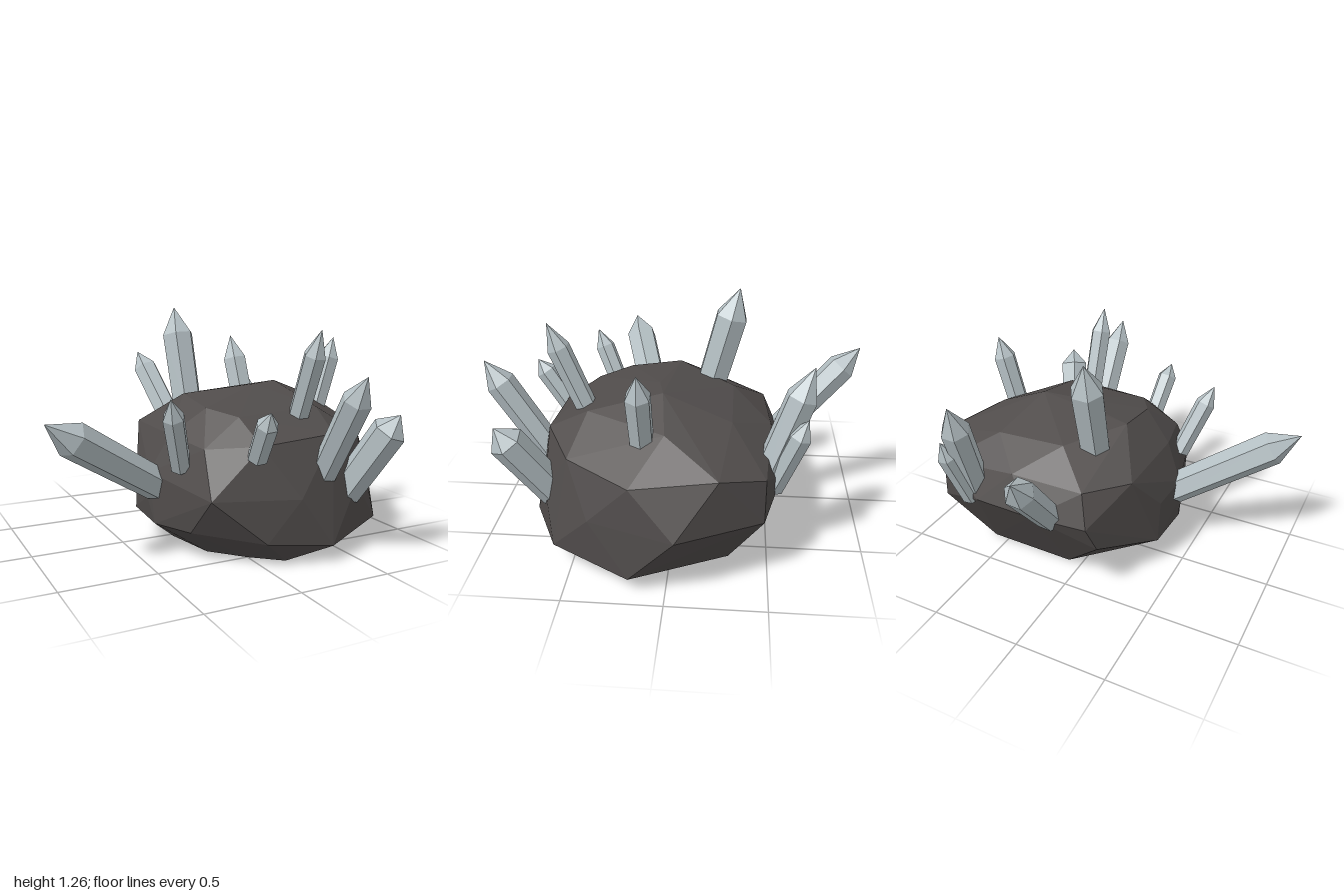
import * as THREE from 'three';
import { ConvexGeometry } from 'three/addons/geometries/ConvexGeometry.js';

const rockMat = new THREE.MeshStandardMaterial({ color: 0x504c4b, flatShading: true });
rockMat.name = 'dark rock';
const crystalMat = new THREE.MeshStandardMaterial({ color: 0xb5c0c4, flatShading: true });
crystalMat.name = 'pale crystal';

// Corners of the boulder, ring by ring: [x, y, z]
const rockRings = [
  // flat base
  [[-0.21, 0, 0.03], [-0.15, 0, 0.33], [0, 0, 0.5], [0.15, 0, 0.63], [0.65, 0, 0.32],
    [0.73, 0, 0], [0.59, 0, -0.3], [0.08, 0, -0.31]],
  // lower edge
  [[0.93, 0.09, 0.18], [0.75, 0.14, 0.58], [0.35, 0.09, 0.76], [0, 0.13, 0.7],
    [-0.3, 0.16, 0.45], [-0.39, 0.15, 0.2], [-0.38, 0.16, -0.1], [-0.18, 0.28, -0.46]],
  // waist
  [[1, 0.36, -0.05], [0.85, 0.36, 0.38], [0.57, 0.36, 0.65], [0.17, 0.35, 0.74], [-0.27, 0.36, 0.62],
    [-0.4, 0.42, 0.15], [-0.4, 0.28, 0.12], [-0.38, 0.4, -0.08], [-0.15, 0.44, -0.53],
    [0.15, 0.46, -0.58], [0.5, 0.45, -0.56], [0.78, 0.35, -0.47]],
  // shoulder
  [[0.9, 0.64, -0.25], [0.9, 0.58, 0.17], [0.68, 0.6, 0.5], [0.42, 0.64, 0.64], [0, 0.61, 0.63],
    [-0.24, 0.59, 0.48], [-0.3, 0.62, 0.2], [-0.29, 0.62, -0.27], [-0.1, 0.62, -0.47],
    [0.3, 0.64, -0.5], [0.77, 0.58, -0.47]],
  // crown
  [[-0.13, 0.8, 0], [-0.13, 0.76, 0.28], [0.27, 0.84, 0.08], [0.42, 0.85, 0.05], [0.68, 0.75, 0.02],
    [0.5, 0.74, -0.3], [0.1, 0.76, -0.3], [-0.03, 0.73, 0.45], [0.45, 0.75, 0.43]],
];

// Crystals: base, tip, radius, length of the pointed end
const crystals = [
  [[-0.36, 0.35, 0.16], [-1, 0.76, 0.37], 0.095, 0.17],
  [[-0.025, 0.7, -0.17], [-0.04, 1.26, -0.32], 0.092, 0.16],
  [[0.08, 0.43, -0.5], [-0.02, 0.95, -0.97], 0.078, 0.14],
  [[0.32, 0.66, 0.44], [0.33, 1.17, 0.64], 0.06, 0.14],
  [[0.555, 0.46, -0.47], [0.53, 1.06, -0.68], 0.08, 0.16],
  [[0.57, 0.42, -0.51], [0.62, 0.83, -0.66], 0.058, 0.1],
  [[0.65, 0.68, 0.13], [0.77, 1.09, 0.135], 0.065, 0.12],
  [[0.36, 0.44, 0.64], [0.36, 0.97, 0.97], 0.076, 0.14],
  [[0.53, 0.31, 0.6], [0.67, 0.75, 0.85], 0.092, 0.1],
  [[-0.31, 0.48, 0.36], [-0.44, 0.86, 0.53], 0.057, 0.11],
  [[-0.03, 0.56, 0.64], [-0.06, 0.81, 0.81], 0.057, 0.08],
];

// Six-sided prism with a point, stretched from base to tip
function makeCrystal([base, tip, radius, point]) {
  const from = new THREE.Vector3(...base);
  const axis = new THREE.Vector3(...tip).sub(from);
  const length = axis.length();
  const profile = [[0, 0], [radius * 0.95, 0], [radius, length - point], [0, length]];
  const geometry = new THREE.LatheGeometry(profile.map(p => new THREE.Vector2(...p)), 6, Math.PI / 6);
  const mesh = new THREE.Mesh(geometry, crystalMat);
  mesh.position.copy(from);
  mesh.quaternion.setFromUnitVectors(new THREE.Vector3(0, 1, 0), axis.normalize());
  return mesh;
}

export function createModel() {
  const model = new THREE.Group();
  model.name = 'crystalRock';

  const corners = rockRings.flat().map(p => new THREE.Vector3(...p));
  const rock = new THREE.Mesh(new ConvexGeometry(corners), rockMat);
  rock.name = 'boulder';
  model.add(rock);

  crystals.forEach((spec, i) => {
    const crystal = makeCrystal(spec);
    crystal.name = `crystal${i + 1}`;
    model.add(crystal);
  });
  return model;
}
